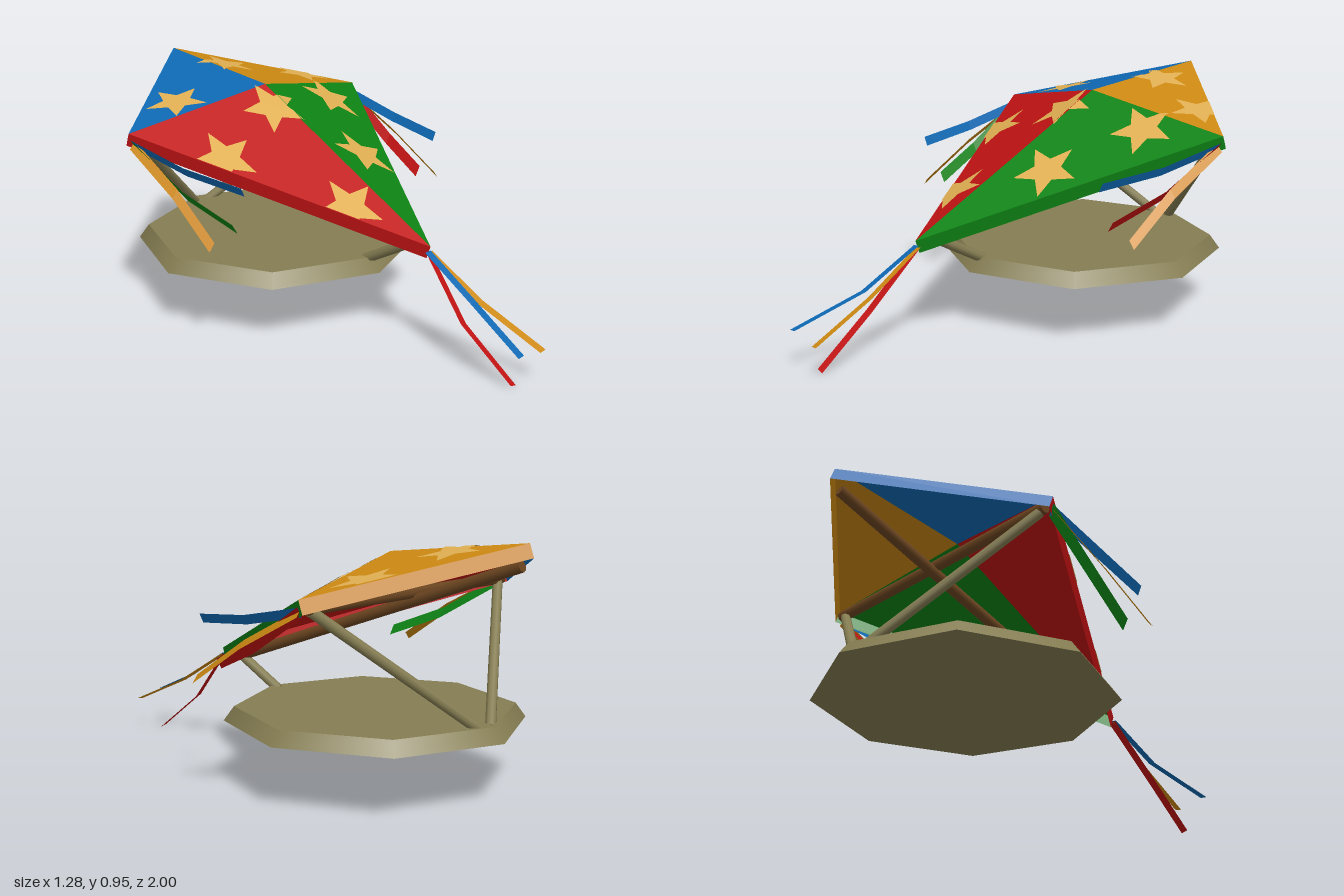
import * as THREE from 'three';

const mat = (name, color, side = THREE.DoubleSide) => {
  const m = new THREE.MeshStandardMaterial({ color, side });
  m.name = name;
  return m;
};
const V = (x, y, z) => new THREE.Vector3(x, y, z);

// Non-indexed geometry from a flat list of triangle corners
function fromTriangles(points) {
  const g = new THREE.BufferGeometry().setFromPoints(points);
  g.computeVertexNormals();
  return g;
}

// Clip a polygon to a triangle as seen from above (x, z)
function clipToTriangle(poly, tri) {
  const side = (a, b, p) => (b.x - a.x) * (p.z - a.z) - (b.z - a.z) * (p.x - a.x);
  const sign = Math.sign(side(tri[0], tri[1], tri[2]));
  for (let e = 0; e < 3; e++) {
    const a = tri[e], b = tri[(e + 1) % 3], out = [];
    poly.forEach((p, i) => {
      const q = poly[(i + 1) % poly.length];
      const dp = side(a, b, p) * sign, dq = side(a, b, q) * sign;
      if (dp >= 0) out.push(p);
      if (dp * dq < 0) out.push(p.clone().lerp(q, dp / (dp - dq)));
    });
    poly = out;
  }
  return poly;
}

export function createModel() {
  const root = new THREE.Group();
  const red = mat('red cloth', 0xc01212), green = mat('green cloth', 0x0d8214);
  const blue = mat('blue cloth', 0x0e68b2), yellow = mat('yellow cloth', 0xcc8812);
  const gold = mat('pale gold', 0xdfae52);
  const olive = mat('olive stand', 0x857d52, THREE.FrontSide);
  const brown = mat('brown wood', 0x6b4520, THREE.FrontSide);

  const add = (name, geometry, material, parent = root) => {
    const m = new THREE.Mesh(geometry, material);
    m.name = name;
    parent.add(m);
    return m;
  };
  const rod = (name, a, b, r, material) => {
    const m = add(name, new THREE.CylinderGeometry(r, r, a.distanceTo(b), 8), material);
    m.position.copy(a).lerp(b, 0.5);
    m.quaternion.setFromUnitVectors(V(0, 1, 0), b.clone().sub(a).normalize());
  };

  // Kite sail: four panels meeting at a raised centre, each with a turned-down rim
  const centre = V(0, 0.89, -0.388), front = V(0, 0.42, 0.508), back = V(0, 0.955, -0.982);
  const left = V(0.615, 0.78, -0.487), right = V(-0.615, 0.78, -0.487);
  const drop = V(0, -0.05, -0.018);
  const panels = [
    ['redPanel', red, right, front], ['greenPanel', green, front, left],
    ['yellowPanel', yellow, left, back], ['bluePanel', blue, back, right],
  ];
  for (const [name, material, a, b] of panels) {
    const a2 = a.clone().add(drop), b2 = b.clone().add(drop);
    add(name, fromTriangles([centre, a, b, a, a2, b2, a, b2, b]), material);
  }

  // Stars: laid on the panels, folded over ridges and cut at the sail edge (x, z, turn)
  const stars = [
    [-0.33, -0.55, 0.05], [0.07, -0.715, 0.12], [0.395, -0.595, -0.3],
    [-0.38, -0.2, 0.17], [-0.055, -0.28, 0.1], [-0.13, 0.22, 0.12],
    [0.33, -0.345, 0.15], [0.165, 0.005, 0.05],
  ];
  const starTris = [];
  for (const [x, z, turn] of stars) {
    const corner = (i) => {
      const t = turn + i * Math.PI / 5, r = i % 2 ? 0.056 : 0.127;
      return V(x + Math.sin(t) * r, 0, z - Math.cos(t) * r);
    };
    for (const [, , a, b] of panels) {
      const plane = new THREE.Plane().setFromCoplanarPoints(centre, a, b);
      const n = plane.normal;
      for (let i = 0; i < 10; i++) {
        const poly = clipToTriangle([V(x, 0, z), corner(i + 1), corner(i)], [centre, a, b]);
        for (const p of poly) p.y = -(plane.constant + n.x * p.x + n.z * p.z) / n.y;
        const lifted = poly.map((p) => p.clone().addScaledVector(n, 0.004));
        for (let k = 1; k + 1 < lifted.length; k++) starTris.push(lifted[0], lifted[k], lifted[k + 1]);
      }
    }
  }
  add('stars', fromTriangles(starTris), gold);

  // Crossed spars beneath the sail
  rod('longSpar', V(0, 0.875, -0.955), V(0, 0.4, 0.4), 0.022, brown);
  rod('crossSpar', V(-0.585, 0.745, -0.495), V(0.585, 0.745, -0.495), 0.022, brown);

  // Stand: bevelled octagonal base, two spread rear struts and a short front strut
  add('base', new THREE.CylinderGeometry(0.54, 0.58, 0.055, 8), olive).position.set(0, 0.272, -0.325);
  for (const s of [-1, 1]) rod('rearStrut', V(s * 0.03, 0.285, -0.825), V(s * 0.56, 0.735, -0.495), 0.02, olive);
  rod('frontStrut', V(0, 0.285, 0.18), V(0, 0.405, 0.4), 0.02, olive);

  // Ribbons: a flat strip along a path, with a constant width direction
  const ribbon = (name, material, path, w, s = 1) => {
    const half = V(w[0] * s, w[1], w[2]).multiplyScalar(0.5), tris = [];
    const pts = path.map((p) => V(p[0] * s, p[1], p[2]));
    for (let i = 0; i + 1 < pts.length; i++) {
      const a = pts[i].clone().add(half), b = pts[i].clone().sub(half);
      const c = pts[i + 1].clone().add(half), d = pts[i + 1].clone().sub(half);
      tris.push(a, b, c, b, d, c);
    }
    add(name, fromTriangles(tris), material);
  };

  // Front tail
  ribbon('frontRibbonBlue', blue, [[-0.005, 0.4, 0.5], [-0.017, 0.268, 0.73], [-0.08, 0.163, 0.995]], [0.03, 0.003, 0]);
  ribbon('frontRibbonYellow', yellow, [[0.005, 0.395, 0.5], [0.027, 0.255, 0.73], [0.057, 0.138, 0.99]], [0.03, 0.004, 0]);
  ribbon('frontRibbonRed', red, [[0, 0.395, 0.5], [-0.032, 0.18, 0.7], [-0.02, 0.007, 0.925]], [0.03, -0.007, 0]);

  // Side tails, mirrored, with the inner ribbon in a different colour on each side
  for (const s of [-1, 1]) {
    ribbon('sideRibbonBlue', blue, [[0.6, 0.735, -0.48], [0.575, 0.68, -0.2], [0.53, 0.653, 0.07]], [0.018, 0.035, 0], s);
    ribbon('sideRibbonYellow', yellow, [[0.605, 0.735, -0.48], [0.612, 0.6, -0.22], [0.627, 0.45, 0.005]], [0.025, -0.03, 0], s);
    ribbon('sideRibbonInner', s > 0 ? red : green, [[0.6, 0.735, -0.48], [0.565, 0.58, -0.22], [0.512, 0.49, 0]], [0.025, 0.04, 0], s);
  }
  return root;
}
